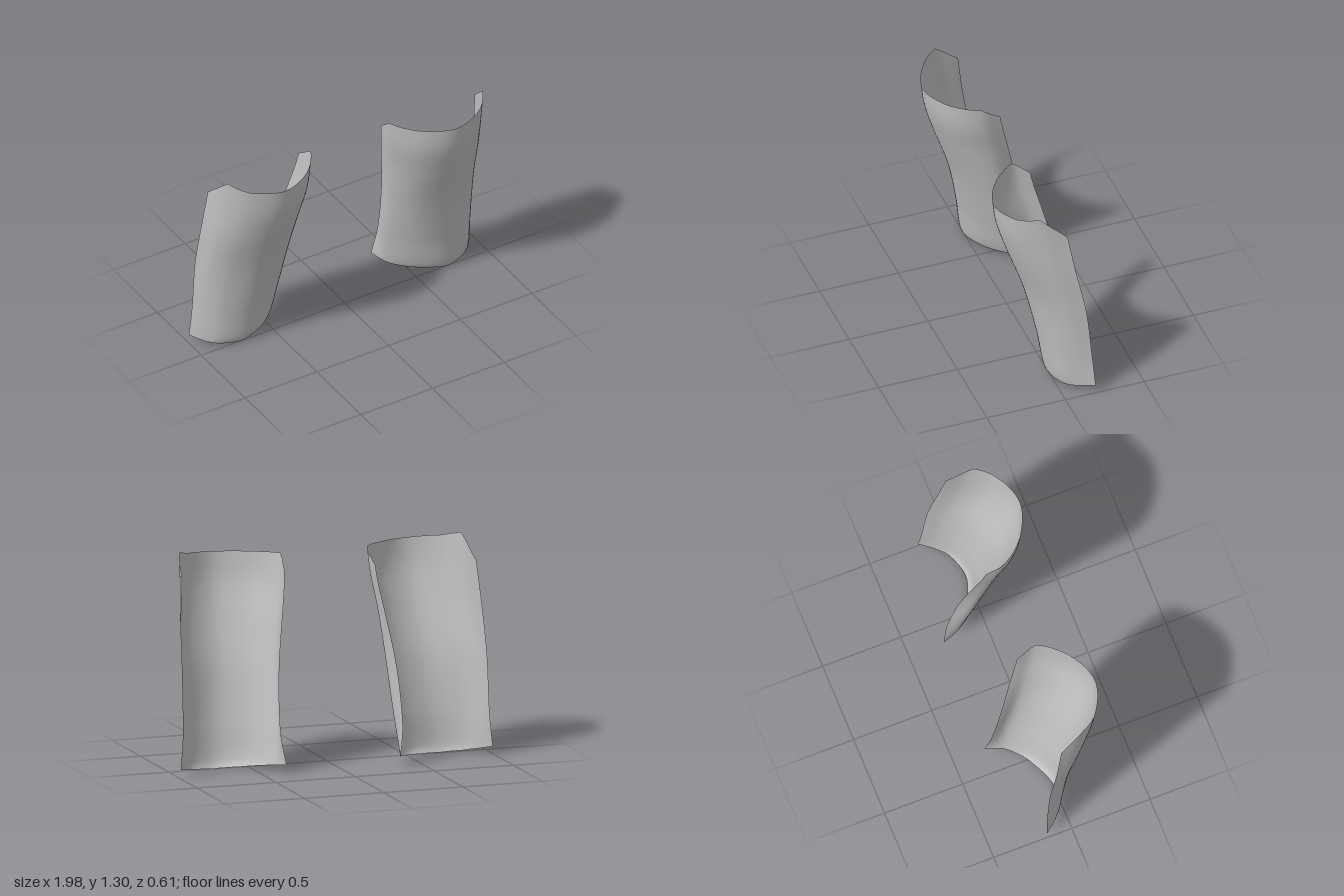
import * as THREE from 'three';

// Sections of one shell at rising heights: [x, z] from the inner edge round the front to the outer edge
const LEVELS = [
  { y: 0.0, p: [[0.355, -0.29], [0.445, -0.165], [0.575, -0.06], [0.71, 0.0], [0.84, -0.035], [0.915, -0.09], [0.993, -0.197]] },
  { y: 0.04, p: [[0.355, -0.285], [0.41, -0.16], [0.54, -0.035], [0.70, 0.02], [0.85, -0.02], [0.925, -0.095], [0.993, -0.195]] },
  { y: 0.25, p: [[0.382, -0.25], [0.37, -0.15], [0.49, -0.01], [0.685, 0.05], [0.85, 0.0], [0.93, -0.085], [0.975, -0.18]] },
  { y: 0.6, p: [[0.366, -0.18], [0.344, -0.07], [0.45, 0.065], [0.645, 0.125], [0.83, 0.06], [0.92, -0.03], [0.967, -0.145]] },
  { y: 0.9, p: [[0.322, -0.11], [0.318, 0.0], [0.425, 0.155], [0.62, 0.225], [0.805, 0.16], [0.905, 0.05], [0.952, -0.085]] },
  { y: 1.1, p: [[0.29, -0.06], [0.29, 0.05], [0.405, 0.21], [0.61, 0.285], [0.80, 0.21], [0.897, 0.085], [0.935, -0.05]] },
  { y: 1.3, p: [[0.273, -0.02], [0.27, 0.07], [0.40, 0.225], [0.605, 0.31], [0.80, 0.235], [0.89, 0.12], [0.917, -0.015]] },
];
// Rim heights at the same seven places; the top corners are cut off
const BOTTOM = [0.055, 0.033, 0.012, 0.0, 0.01, 0.025, 0.05];
const TOP = [1.18, 1.27, 1.258, 1.255, 1.272, 1.305, 1.16];

const COLS = 48, ROWS = 32;

function piecewise(values, t) {
  const f = t * (values.length - 1);
  const i = Math.min(Math.floor(f), values.length - 2);
  return THREE.MathUtils.lerp(values[i], values[i + 1], f - i);
}

// Smooth value at height y through the levels (cubic Hermite)
function atHeight(y, get) {
  const n = LEVELS.length;
  let i = 0;
  while (i < n - 2 && y > LEVELS[i + 1].y) i++;
  const slope = (k) => {
    const a = LEVELS[Math.max(k - 1, 0)], b = LEVELS[Math.min(k + 1, n - 1)];
    return (get(b) - get(a)) / (b.y - a.y);
  };
  const h = LEVELS[i + 1].y - LEVELS[i].y;
  const s = (y - LEVELS[i].y) / h, s2 = s * s, s3 = s2 * s;
  return (2 * s3 - 3 * s2 + 1) * get(LEVELS[i]) + (s3 - 2 * s2 + s) * h * slope(i)
    + (3 * s2 - 2 * s3) * get(LEVELS[i + 1]) + (s3 - s2) * h * slope(i + 1);
}

function shellPoint(t, v) {
  const y = THREE.MathUtils.lerp(piecewise(BOTTOM, t), piecewise(TOP, t), v);
  const pts = BOTTOM.map((_, k) => new THREE.Vector3(
    atHeight(y, (l) => l.p[k][0]), y, atHeight(y, (l) => l.p[k][1])));
  return new THREE.CatmullRomCurve3(pts).getPoint(t);
}

// side is 1 for the left shell, -1 for the right; the twists shift its two long edges in z
function shellGeometry(side, innerTwist, outerTwist) {
  const pos = [], index = [];
  for (let r = 0; r <= ROWS; r++) {
    for (let c = 0; c <= COLS; c++) {
      // rows crowd towards the bottom, where the lip bends
      const t = c / COLS, v = (r / ROWS) ** 1.4;
      const p = shellPoint(t, v);
      const w = (2 * t - 1) ** 2;
      const twist = t < 0.5 ? innerTwist : outerTwist * (1 - v);
      pos.push(side * p.x, p.y, p.z + twist * w);
      if (r < ROWS && c < COLS) {
        const a = r * (COLS + 1) + c, b = a + 1, d = a + COLS + 1, e = d + 1;
        if (side > 0) index.push(a, b, e, a, e, d);
        else index.push(a, e, b, a, d, e);
      }
    }
  }
  const geo = new THREE.BufferGeometry();
  geo.setAttribute('position', new THREE.Float32BufferAttribute(pos, 3));
  geo.setIndex(index);
  geo.computeVertexNormals();
  return geo;
}

export function createModel() {
  const group = new THREE.Group();
  group.name = 'shinGuards';
  const grey = new THREE.MeshStandardMaterial({ color: 0xc0c0c0, side: THREE.DoubleSide });
  grey.name = 'plainGrey';

  // Two open curved plates
  const left = new THREE.Mesh(shellGeometry(1, 0, 0), grey);
  left.name = 'leftShinGuard';
  const right = new THREE.Mesh(shellGeometry(-1, -0.022, 0.04), grey);
  right.name = 'rightShinGuard';
  group.add(left, right);
  return group;
}
